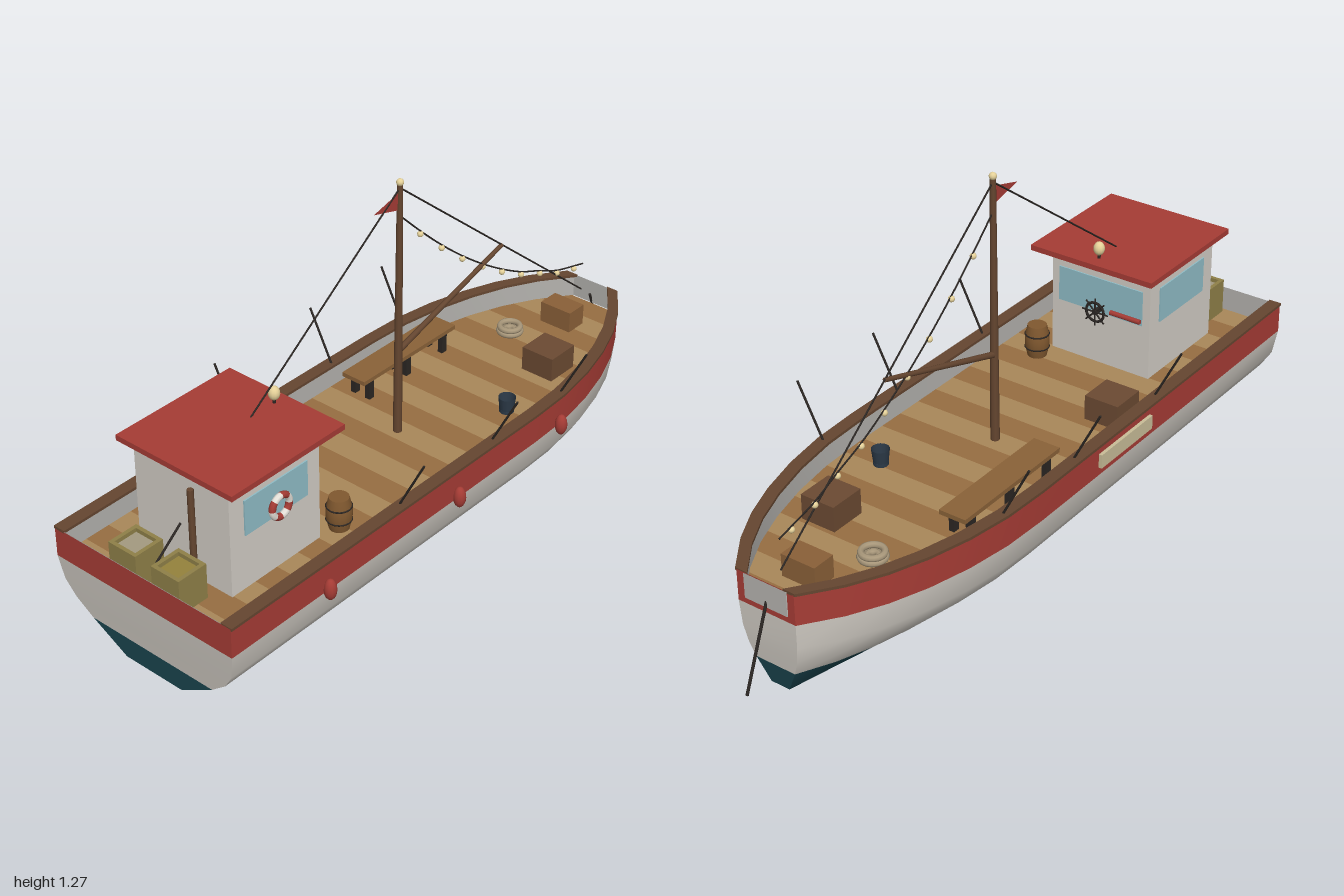
import * as THREE from 'three';
import { mergeGeometries, toCreasedNormals } from 'three/addons/utils/BufferGeometryUtils.js';

const V = (x, y, z) => new THREE.Vector3(x, y, z);
const C = { red: 0xa63c35, white: 0xd2cdc5, teal: 0x1b4650, brown: 0x654630, dark: 0x2b2623, glass: 0x8fbcc6,
  plankA: 0xa98759, plankB: 0x976e42, cream: 0xe6d29a, box: 0x6b4a32, grey: 0xb4b2ae, straw: 0x8f8048 };

// Half width of the hull along its length (x forward)
const stations = [[-1.03, 0.38], [-0.5, 0.381], [0, 0.381], [0.45, 0.381], [0.62, 0.374], [0.78, 0.35],
  [0.93, 0.311], [1.06, 0.262], [1.18, 0.198], [1.3, 0.11]];
// Hull levels: height, width factor, stern x, stem x
const levels = [[0, 0.32, -1, 1.265], [0.085, 0.69, -1.005, 1.28], [0.14, 0.86, -1.012, 1.288],
  [0.2, 0.96, -1.02, 1.295], [0.29, 1, -1.03, 1.3], [0.4, 1, -1.03, 1.3]];

function halfWidth(x) {
  for (let i = 1; i < stations.length; i++) {
    const [x0, w0] = stations[i - 1], [x1, w1] = stations[i];
    if (x <= x1) return w0 + (w1 - w0) * (x - x0) / (x1 - x0);
  }
  return 0.11;
}

// Closed outline of the hull at one level
function ring([y, f, x0, x1], inset = 0) {
  const side = stations.map(([x, w]) => V(x0 + (x + 1.03) / 2.33 * (x1 - x0), y, w * f - inset));
  return [...side, ...side.map(p => V(p.x, p.y, -p.z)).reverse()];
}

// Skin between stacked outlines, optionally closed underneath
function skin(rings, floor = false) {
  const pos = [], n = rings[0].length, add = (...ps) => ps.forEach(p => pos.push(p.x, p.y, p.z));
  for (let k = 0; k + 1 < rings.length; k++) for (let i = 0; i < n; i++) {
    const j = (i + 1) % n, a = rings[k], b = rings[k + 1];
    add(a[i], a[j], b[j], a[i], b[j], b[i]);
  }
  if (floor) for (let i = 0; i < n; i++) add(V(0, rings[0][0].y, 0), rings[0][(i + 1) % n], rings[0][i]);
  const g = new THREE.BufferGeometry();
  g.setAttribute('position', new THREE.Float32BufferAttribute(pos, 3));
  return toCreasedNormals(g, 0.6);
}

export function createModel() {
  const root = new THREE.Group(), boat = new THREE.Group();
  root.name = 'fishingBoat';
  boat.name = 'boat';
  boat.rotation.y = Math.PI / 4;
  root.add(boat);

  const mesh = (name, geo, color, x = 0, y = 0, z = 0, double = false) => {
    const m = new THREE.Mesh(geo, new THREE.MeshStandardMaterial({ color }));
    if (double) m.material.side = THREE.DoubleSide;
    m.name = name;
    m.position.set(x, y, z);
    boat.add(m);
    return m;
  };
  const box = (name, color, w, h, d, x, y, z) => mesh(name, new THREE.BoxGeometry(w, h, d), color, x, y, z);
  const rod = (name, color, a, b, r0, r1 = r0) => {
    const d = b.clone().sub(a), mid = a.clone().add(b).multiplyScalar(0.5);
    const m = mesh(name, new THREE.CylinderGeometry(r1, r0, d.length(), 8), color, mid.x, mid.y, mid.z);
    m.quaternion.setFromUnitVectors(V(0, 1, 0), d.normalize());
    return m;
  };
  const ball = (name, color, r, x, y, z) => mesh(name, new THREE.SphereGeometry(r, 12, 8), color, x, y, z);
  const flat = pts => new THREE.Shape(pts.map(p => new THREE.Vector2(...p)));

  // Hull bands and inner bulwark
  const rings = levels.map(l => ring(l));
  mesh('hullBottom', skin(rings.slice(0, 2), true), C.teal);
  mesh('hullSides', skin(rings.slice(1, 5)), C.white);
  mesh('hullStripe', skin(rings.slice(4, 6)), C.red);
  mesh('innerBulwark', skin([0.31, 0.399].map(y => ring([y, 1, -1.027, 1.302], 0.028))), C.grey, 0, 0, 0, true);

  // Brown cap along each side
  for (const s of [-1, 1]) {
    const outer = stations.map(([x, w]) => [x, s * (w + 0.004)]);
    const inner = stations.map(([x, w]) => [x, s * (w - 0.042)]).reverse();
    const g = new THREE.ExtrudeGeometry(flat([...outer, ...inner]), { depth: 0.01, bevelEnabled: false });
    mesh('bulwarkCap', g.rotateX(-Math.PI / 2), C.brown, 0, 0.394, 0);
  }

  // Deck planks laid across the boat in two tones
  const planks = [[], []], count = 24, step = 2.326 / count;
  for (let i = 0; i < count; i++) {
    const a = -1.028 + i * step, b = a + step, wa = halfWidth(a) - 0.02, wb = halfWidth(b) - 0.02;
    planks[i % 2].push(new THREE.ShapeGeometry(flat([[a, -wa], [b, -wb], [b, wb], [a, wa]])));
  }
  planks.forEach((p, i) =>
    mesh('deckPlanks', mergeGeometries(p).rotateX(-Math.PI / 2), i ? C.plankB : C.plankA, 0, 0.31, 0, true));

  // Cabin with roof, windows and lamp
  box('cabin', C.white, 0.4, 0.4, 0.4, -0.64, 0.507, 0);
  box('cabinRoof', C.red, 0.5, 0.02, 0.49, -0.62, 0.716, 0);
  for (const s of [-1, 1]) box('sideWindow', C.glass, 0.28, 0.13, 0.01, -0.638, 0.575, s * 0.2);
  box('frontWindow', C.glass, 0.01, 0.13, 0.34, -0.44, 0.575, 0);
  ball('roofLamp', C.cream, 0.02, -0.424, 0.762, 0).scale.y = 1.25;
  rod('roofLampPost', C.dark, V(-0.424, 0.72, 0), V(-0.424, 0.75, 0), 0.006);

  // Striped lifebuoy
  for (let i = 0; i < 8; i++) {
    const g = new THREE.TorusGeometry(0.038, 0.012, 8, 5, Math.PI / 4);
    mesh('lifebuoy', g, i % 2 ? C.red : 0xe4e0d8, -0.63, 0.545, 0.213).rotation.z = i * Math.PI / 4;
  }

  // Steering wheel and handle on the cabin front
  mesh('steeringWheel', new THREE.TorusGeometry(0.036, 0.005, 6, 20), C.dark, -0.405, 0.525, 0).rotation.y = Math.PI / 2;
  for (let i = 0; i < 4; i++) {
    const a = i * Math.PI / 4, y = 0.052 * Math.cos(a), z = 0.052 * Math.sin(a);
    rod('wheelSpoke', C.dark, V(-0.405, 0.525 - y, -z), V(-0.405, 0.525 + y, z), 0.003);
  }
  rod('wheelAxle', C.dark, V(-0.44, 0.525, 0), V(-0.4, 0.525, 0), 0.01);
  rod('redHandle', C.red, V(-0.425, 0.53, -0.05), V(-0.425, 0.53, -0.17), 0.009);

  // Tiller and post behind the cabin
  rod('tiller', C.dark, V(-0.96, 0.41, 0), V(-0.85, 0.5, 0), 0.004);
  rod('cabinPost', C.brown, V(-0.85, 0.31, 0.05), V(-0.85, 0.65, 0.05), 0.011);

  // Mast, boom and pennant
  rod('mast', C.brown, V(0.177, 0.31, 0), V(0.177, 1.25, 0), 0.016, 0.01);
  ball('mastBall', C.cream, 0.013, 0.177, 1.26, 0);
  rod('boom', C.brown, V(0.177, 0.63, 0), V(0.728, 0.8, 0), 0.011, 0.008);
  mesh('pennant', new THREE.ShapeGeometry(flat([[0.17, 1.225], [0.05, 1.193], [0.17, 1.162]])), C.red, 0, 0, 0, true);

  // Stays and sagging string of lights
  rod('foreStay', C.dark, V(0.177, 1.24, 0), V(1.23, 0.4, 0), 0.003);
  rod('aftStay', C.dark, V(0.177, 1.24, 0), V(-0.537, 0.72, 0), 0.003);
  const lights = [[0.2, 1.04], [0.28, 0.94], [0.36, 0.85], [0.44, 0.77], [0.52, 0.7], [0.6, 0.64], [0.68, 0.595],
    [0.755, 0.55], [0.83, 0.522]].map(([x, y]) => V(x * Math.SQRT2, y, 0));
  const line = new THREE.CatmullRomCurve3([V(0.177, 1.14, 0), ...lights, V(1.23, 0.508, 0)]);
  mesh('lightString', new THREE.TubeGeometry(line, 40, 0.003, 5), C.dark);
  lights.forEach(p => ball('lightBulb', C.cream, 0.011, p.x, p.y - 0.011, 0));

  // Rail poles leaning outward on both sides
  for (const s of [-1, 1]) for (const x of [-0.235, 0.24, 0.62])
    rod('railPole', C.dark, V(x, 0.39, s * 0.35), V(x, 0.59, s * 0.452), 0.004);

  // Fenders to starboard, plain board to port, anchor line at the bow
  for (const x of [-0.608, 0.025, 0.58]) ball('fender', C.red, 0.022, x, 0.303, 0.393).scale.y = 1.8;
  box('sideBoard', 0xc9bd98, 0.3, 0.05, 0.012, -0.014, 0.345, -0.387);
  rod('anchorLine', C.dark, V(1.29, 0.35, 0), V(1.408, 0.055, 0), 0.005);

  // Bench on the port side
  box('benchTop', 0x8a6238, 0.5, 0.016, 0.1, 0.47, 0.396, -0.237);
  for (const x of [0.27, 0.47, 0.67]) for (const z of [-0.27, -0.205])
    box('benchLeg', C.dark, 0.025, 0.08, 0.02, x, 0.35, z);

  // Deck boxes
  box('deckBox', C.box, 0.13, 0.09, 0.13, -0.163, 0.355, -0.233);
  box('deckBox', C.box, 0.13, 0.09, 0.13, 0.83, 0.355, 0.148);
  box('bowBox', 0x8a6038, 0.085, 0.08, 0.13, 1.115, 0.35, 0);

  // Open crates at the stern
  for (const [z, fill] of [[-0.1, 0xa39a80], [0.085, 0x94823c]]) {
    box('crateFill', fill, 0.09, 0.115, 0.09, -0.948, 0.3675, z);
    for (const s of [-1, 1]) {
      box('crateSide', C.straw, 0.118, 0.13, 0.014, -0.948, 0.375, z + s * 0.052);
      box('crateEnd', C.straw, 0.014, 0.13, 0.1, -0.948 + s * 0.052, 0.375, z);
    }
  }

  // Barrel, bucket and coiled rope
  const stave = [[0, 0], [0.034, 0], [0.043, 0.04], [0.044, 0.06], [0.043, 0.08], [0.034, 0.12], [0, 0.12]];
  const barrel = new THREE.LatheGeometry(stave.map(p => new THREE.Vector2(...p)), 16);
  mesh('barrel', toCreasedNormals(barrel, 0.7), 0x80582f, -0.36, 0.31, 0.21);
  for (const y of [0.345, 0.395])
    mesh('barrelHoop', new THREE.TorusGeometry(0.042, 0.003, 6, 18).rotateX(Math.PI / 2), C.dark, -0.36, y, 0.21);
  mesh('bucket', new THREE.CylinderGeometry(0.031, 0.024, 0.06, 14, 1, true), 0x2c3a48, 0.513, 0.34, 0.209, true);
  mesh('bucketFloor', new THREE.CylinderGeometry(0.026, 0.026, 0.01, 14), 0x2c3a48, 0.513, 0.318, 0.209);
  [[0.04, 0.32], [0.037, 0.336], [0.017, 0.322]].forEach(([r, y]) =>
    mesh('ropeCoil', new THREE.TorusGeometry(r, 0.011, 8, 24).rotateX(Math.PI / 2), 0xa8977a, 0.933, y, -0.1));

  return root;
}
